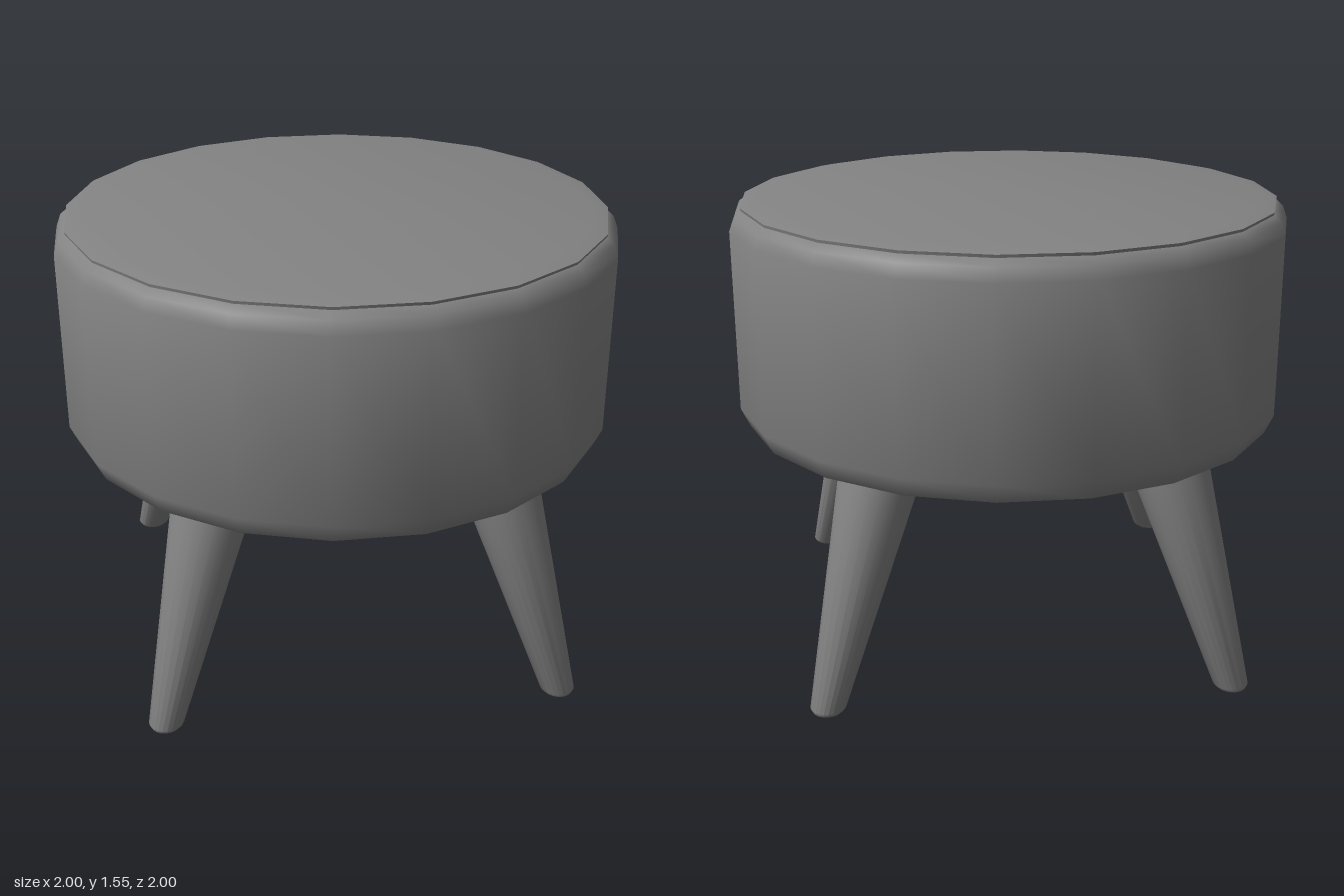
import * as THREE from 'three';
import { toCreasedNormals } from 'three/addons/utils/BufferGeometryUtils.js';

const material = new THREE.MeshStandardMaterial({ color: 0x838383 });
const UNDERSIDE = 0.77;

// Turned solid from [radius, height] pairs, listed from the bottom up
function turned(profile, sides) {
  return new THREE.LatheGeometry(profile.map(([r, y]) => new THREE.Vector2(r, y)), sides);
}

function addMesh(parent, name, geometry, crease) {
  const mesh = new THREE.Mesh(toCreasedNormals(geometry, crease), material);
  mesh.name = name;
  parent.add(mesh);
  return mesh;
}

// Tapered leg with a bevelled foot, sheared outward so that every level section stays a circle
function legGeometry() {
  const geometry = turned([
    [0, 0], [0.048, 0], [0.058, 0.012], [0.14, UNDERSIDE], [0.142, 0.79], [0, 0.79],
  ], 24);
  const pos = geometry.attributes.position;
  for (let i = 0; i < pos.count; i++) {
    const t = pos.getY(i) / UNDERSIDE;
    pos.setZ(i, pos.getZ(i) + THREE.MathUtils.lerp(0.945, 0.65, t));
  }
  return geometry;
}

export function createModel() {
  const model = new THREE.Group();
  model.name = 'roundStool';

  // Padded drum with softened lower and upper edges
  addMesh(model, 'cushion', turned([
    [0, UNDERSIDE], [0.84, UNDERSIDE], [0.905, 0.795], [0.935, 0.86],
    [0.935, 1.465], [0.919, 1.507], [0.893, 1.53], [0, 1.53],
  ], 20), 0.95);

  // Thin top panel, set off by a fine seam
  addMesh(model, 'topPanel', turned([
    [0, 1.525], [0.894, 1.525], [0.897, 1.538], [0.845, 1.55], [0, 1.55],
  ], 20), 0.6);

  // Four splayed legs, one on each axis
  for (let i = 0; i < 4; i++) {
    addMesh(model, `leg${i + 1}`, legGeometry(), 0.7).rotation.y = i * Math.PI / 2;
  }
  return model;
}
